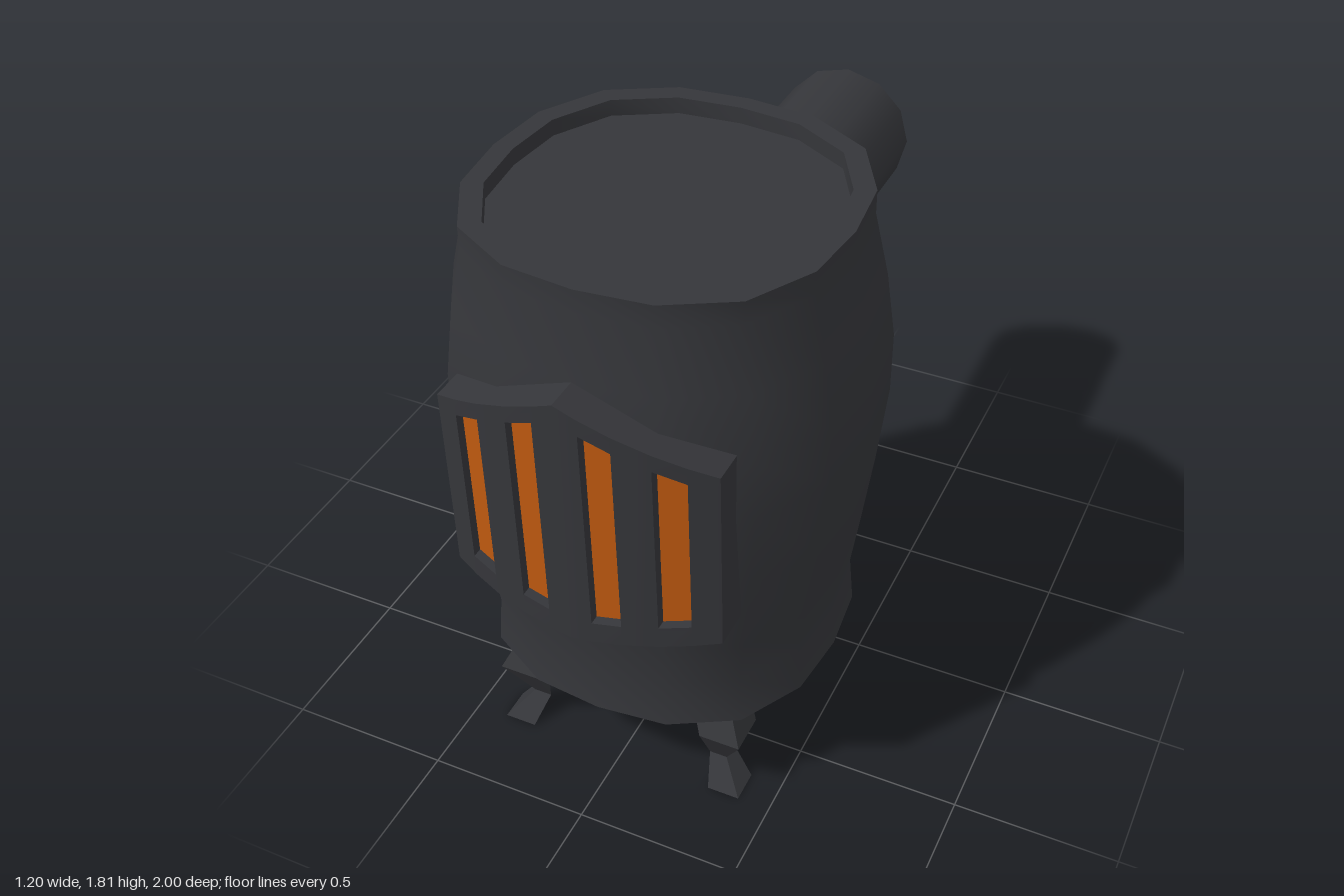
import * as THREE from 'three';
import { mergeGeometries, toCreasedNormals } from 'three/addons/utils/BufferGeometryUtils.js';

const iron = new THREE.MeshStandardMaterial({ color: 0x35363a });
const ironOpen = new THREE.MeshStandardMaterial({ color: 0x35363a, side: THREE.DoubleSide });
const glow = new THREE.MeshStandardMaterial({ color: 0xc05a10 });

function addMesh(parent, name, geometry, material) {
  const mesh = new THREE.Mesh(geometry, material);
  mesh.name = name;
  parent.add(mesh);
  return mesh;
}

// Moves every vertex of a geometry by a rule
function reshape(geometry, rule) {
  const pos = geometry.attributes.position;
  const v = new THREE.Vector3();
  for (let i = 0; i < pos.count; i++) {
    rule(v.fromBufferAttribute(pos, i));
    pos.setXYZ(i, v.x, v.y, v.z);
  }
  return geometry;
}

// Barrel: a 16-sided lathe pushed out to a rounded square, with a sunken lid
function barrelGeometry() {
  const profile = [
    [0, 0.335], [0.53, 0.335], [0.517, 0.49], [0.538, 0.64], [0.572, 0.9], [0.6, 1.16],
    [0.6, 1.35], [0.572, 1.55], [0.53, 1.74], [0.53, 1.81],
    [0.47, 1.81], [0.47, 1.76], [0, 1.76],
  ].map(([r, y]) => new THREE.Vector2(r, y));
  const power = 2.5;
  const geometry = reshape(new THREE.LatheGeometry(profile, 16), (v) => {
    const r = Math.hypot(v.x, v.z);
    if (r > 1e-4) {
      const c = v.x / r, s = v.z / r;
      const grow = (Math.abs(c) ** power + Math.abs(s) ** power) ** (-1 / power);
      const depth = r > 0.53 ? 0.53 + (r - 0.53) * 0.75 : r;
      v.x = c * r * grow;
      v.z = s * depth * grow;
    }
    v.z += 0.335;
  });
  return toCreasedNormals(geometry, 0.8);
}

// Door outline and its bowed front surface
const doorTop = (x) => 1.55 - 0.415 * Math.abs(x);
const doorBottom = (x) => 0.73 + 0.146 * Math.abs(x);
const slotTop = (x) => doorTop(x) - 0.053;
const slotBottom = (x) => doorBottom(x) + 0.071;
const doorFront = (x, y) => 1 - 0.1 * (x / 0.41) ** 2 - 0.022 * (1.55 - y);

// One upright piece of the door between two x positions and two edge lines
function doorPiece(x0, x1, bottom, top, recess = 0) {
  return reshape(new THREE.BoxGeometry(1, 1, 1), (v) => {
    v.x = v.x < 0 ? x0 : x1;
    v.y = v.y < 0 ? bottom(v.x) : top(v.x);
    v.z = v.z < 0 ? 0.7 : doorFront(v.x, v.y) - recess;
  });
}

function createDoor() {
  const door = new THREE.Group();
  door.name = 'door';
  const edges = [0, 0.065, 0.15, 0.25, 0.335, 0.41];
  const frame = [], panes = [];
  for (const side of [-1, 1]) {
    for (let i = 0; i < edges.length - 1; i++) {
      const [x0, x1] = [edges[i] * side, edges[i + 1] * side].sort((a, b) => a - b);
      if (i % 2 === 0) {
        frame.push(doorPiece(x0, x1, doorBottom, doorTop));
      } else {
        frame.push(doorPiece(x0, x1, doorBottom, slotBottom));
        frame.push(doorPiece(x0, x1, slotTop, doorTop));
        panes.push(doorPiece(x0, x1, slotBottom, slotTop, 0.03));
      }
    }
  }
  addMesh(door, 'doorFrame', toCreasedNormals(mergeGeometries(frame), 0.4), iron);
  addMesh(door, 'glowingSlots', toCreasedNormals(mergeGeometries(panes), 0.4), glow);
  return door;
}

// Bent leg lofted from kite-shaped sections, with its ridge on the outer diagonal
function legGeometry(sx, sz) {
  const sections = [[0, 0.3, 0.4], [0.08, 0.275, 0.33], [0.22, 0.273, 0.4], [0.34, 0.22, 0.345]];
  const points = [], index = [];
  for (const [y, inner, outer] of sections) {
    const mid = inner + 0.4 * (outer - inner);
    for (const [x, z] of [[outer, outer], [outer, inner], [mid, mid], [inner, outer]]) {
      points.push(x * sx, y, z * sz);
    }
  }
  const quad = (a, b, c, d) => {
    if (sx * sz > 0) index.push(a, b, c, a, c, d);
    else index.push(a, c, b, a, d, c);
  };
  for (let s = 0; s < sections.length - 1; s++) {
    for (let k = 0; k < 4; k++) {
      const n = (k + 1) % 4;
      quad(s * 4 + k, s * 4 + n, s * 4 + 4 + n, s * 4 + 4 + k);
    }
  }
  quad(3, 2, 1, 0);
  quad(12, 13, 14, 15);
  const indexed = new THREE.BufferGeometry();
  indexed.setAttribute('position', new THREE.Float32BufferAttribute(points, 3));
  indexed.setIndex(index);
  const geometry = indexed.toNonIndexed();
  geometry.computeVertexNormals();
  return geometry;
}

export function createModel() {
  const stove = new THREE.Group();
  stove.name = 'stove';

  addMesh(stove, 'barrel', barrelGeometry(), iron);
  stove.add(createDoor());

  // Flue pipe, open at the back end
  const pipe = new THREE.CylinderGeometry(0.217, 0.217, 0.82, 12, 1, true).rotateX(Math.PI / 2);
  addMesh(stove, 'fluePipe', pipe, ironOpen).position.set(0, 1.307, -0.59);

  // Four legs, mirrored to each corner
  for (const sx of [-1, 1]) {
    for (const sz of [-1, 1]) {
      const name = (sz > 0 ? 'front' : 'back') + (sx > 0 ? 'Left' : 'Right') + 'Leg';
      addMesh(stove, name, legGeometry(sx, sz), iron).position.z = 0.35;
    }
  }
  return stove;
}
